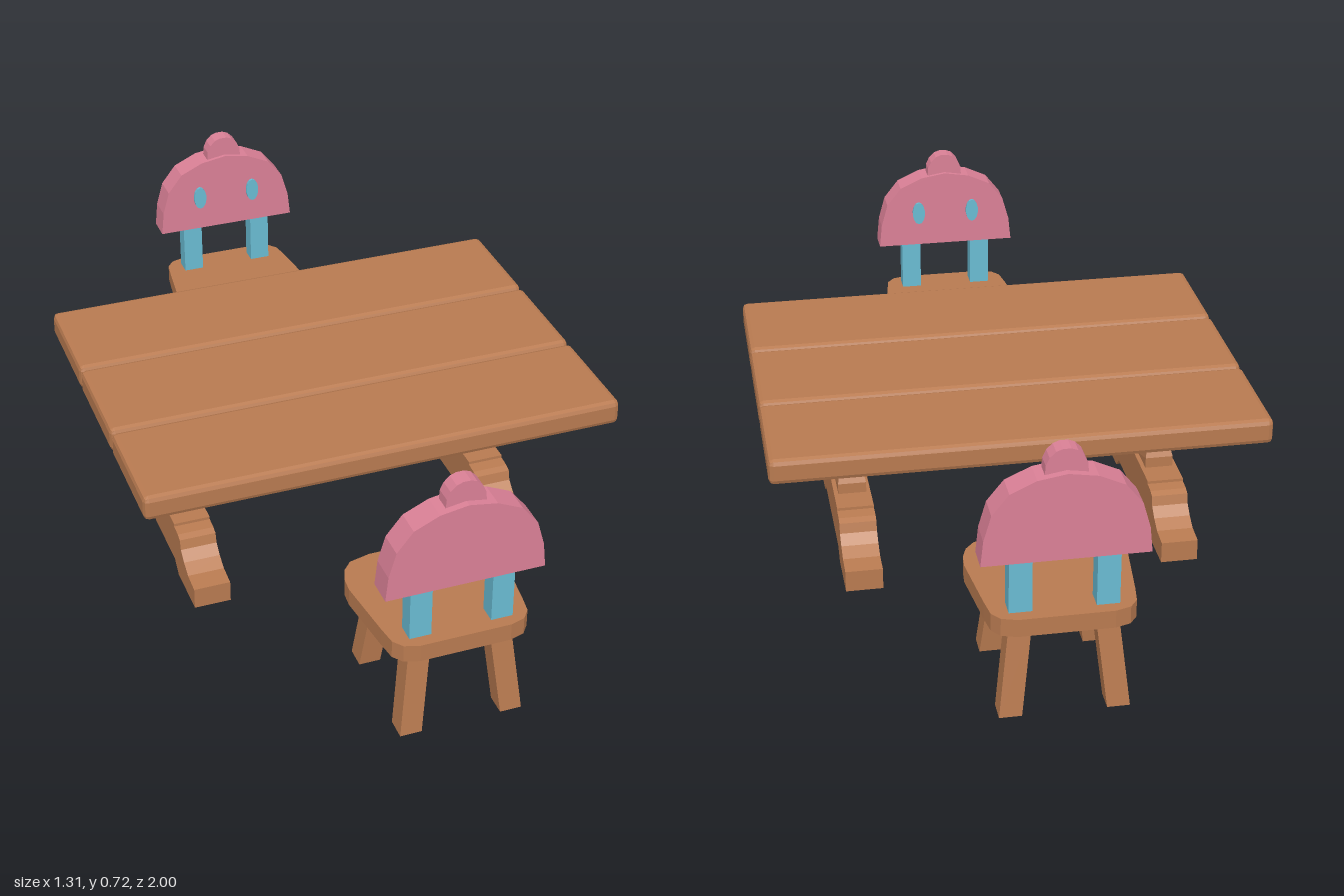
import * as THREE from 'three';
import { RoundedBoxGeometry } from 'three/addons/geometries/RoundedBoxGeometry.js';

const wood = new THREE.MeshStandardMaterial({ name: 'wood', color: 0xb87a50, flatShading: true });
const pink = new THREE.MeshStandardMaterial({ name: 'pink', color: 0xda8096, flatShading: true });
const teal = new THREE.MeshStandardMaterial({ name: 'teal', color: 0x69bbd2, flatShading: true });

function addMesh(parent, name, geometry, material, x = 0, y = 0, z = 0) {
  const mesh = new THREE.Mesh(geometry, material);
  mesh.name = name;
  mesh.position.set(x, y, z);
  parent.add(mesh);
  return mesh;
}

// Extrude a left-right symmetric outline, given its right half, centred in depth
function extrudeMirrored(half, depth) {
  const left = half.filter(([x]) => x > 0).map(([x, y]) => [-x, y]).reverse();
  const shape = new THREE.Shape([...half, ...left].map(([x, y]) => new THREE.Vector2(x, y)));
  const g = new THREE.ExtrudeGeometry(shape, { depth, bevelEnabled: false, curveSegments: 8 });
  return g.translate(0, 0, -depth / 2);
}

// Move vertices by a rule
function reshape(g, rule) {
  const p = g.attributes.position;
  const v = new THREE.Vector3();
  for (let i = 0; i < p.count; i++) {
    rule(v.fromBufferAttribute(p, i));
    p.setXYZ(i, v.x, v.y, v.z);
  }
  g.computeVertexNormals();
  return g;
}

function createTable() {
  const table = new THREE.Group();
  table.name = 'table';

  // Three chamfered planks
  for (let i = -1; i <= 1; i++) {
    addMesh(table, 'tabletopPlank', new RoundedBoxGeometry(1.308, 0.07, 0.315, 1, 0.014), wood, -0.002, 0.445, -0.012 + i * 0.321);
  }

  // Trestles: a scrolled foot and a waisted post
  const foot = [[0.2, 0], [0.168, 0.03], [0, 0.03]].reverse().concat([
    [0.353, 0], [0.353, 0.06], [0.297, 0.066], [0.262, 0.085], [0.235, 0.108],
    [0.228, 0.135], [0.21, 0.142], [0.176, 0.145], [0.176, 0.153], [0, 0.153]]);
  const post = [[0, 0.15], [0.1, 0.15], [0.1, 0.183], [0.075, 0.238], [0.075, 0.34],
    [0.082, 0.362], [0.113, 0.383], [0.113, 0.412], [0, 0.412]];
  for (const side of [-1, 1]) {
    const trestle = new THREE.Group();
    trestle.name = 'trestle';
    trestle.position.set(-0.022 + side * 0.43, 0, -0.014);
    table.add(trestle);
    addMesh(trestle, 'trestleFoot', extrudeMirrored(foot, 0.1).rotateY(Math.PI / 2), wood);
    // The post is thicker at its base
    const postGeometry = reshape(extrudeMirrored(post, 0.053).rotateY(Math.PI / 2), (v) => {
      if (v.y < 0.2) v.x *= 1.45;
    });
    addMesh(trestle, 'trestlePost', postGeometry, wood);
  }

  // Stretcher beam through both posts
  const beam = [[0, 0.249], [0.54, 0.249], [0.54, 0.285], [0.583, 0.303], [0.583, 0.323], [0, 0.323]];
  addMesh(table, 'stretcher', extrudeMirrored(beam, 0.043), wood, -0.022, 0, -0.014);
  return table;
}

// Chair with its back towards +z
function createChair() {
  const chair = new THREE.Group();
  chair.name = 'chair';

  // Seat outline, from its back edge to its front edge (y is -z)
  const seat = [[0, -1], [0.119, -1], [0.158, -0.988], [0.178, -0.962], [0.186, -0.91], [0.206, -0.74],
    [0.203, -0.7], [0.19, -0.663], [0.165, -0.635], [0.108, -0.621], [0, -0.621]];
  addMesh(chair, 'seat', extrudeMirrored(seat, 0.048).rotateX(-Math.PI / 2), wood, 0, 0.26, 0);

  for (const sx of [-1, 1]) {
    // Splayed legs
    for (const sz of [-1, 1]) {
      const leg = reshape(new THREE.BoxGeometry(0.057, 0.24, 0.057), (v) => {
        const splay = v.y < 0 ? 0.027 : 0;
        v.x += sx * splay;
        v.z += sz * splay;
      });
      addMesh(chair, 'leg', leg, wood, sx * 0.107, 0.12, 0.819 + sz * 0.117);
    }
    // Back uprights and oval studs on the inner face
    addMesh(chair, 'backUpright', new THREE.BoxGeometry(0.057, 0.17, 0.048), teal, sx * 0.107, 0.357, 0.944);
    const stud = new THREE.CylinderGeometry(0.5, 0.5, 0.02, 14).rotateX(Math.PI / 2).scale(0.038, 0.07, 1);
    addMesh(chair, 'ovalStud', stud, teal, sx * 0.083, 0.535, 0.914);
  }

  // Domed backrest with a rounded knob on top
  const dome = [[0, 0], [0.206, 0], [0.199, 0.068], [0.18, 0.135], [0.138, 0.188], [0.073, 0.218], [0, 0.23]];
  addMesh(chair, 'backrest', extrudeMirrored(dome, 0.072), pink, 0, 0.43, 0.948);
  const knob = [[0, 0], [0.052, 0], [0.05, 0.025], [0.041, 0.045], [0.026, 0.06], [0.01, 0.066], [0, 0.066]];
  addMesh(chair, 'backrestKnob', extrudeMirrored(knob, 0.043), pink, 0, 0.65, 0.944);
  return chair;
}

export function createModel() {
  const model = new THREE.Group();
  model.name = 'diningSet';
  model.add(createTable());
  for (const turn of [0, Math.PI]) {
    const chair = createChair();
    chair.rotation.y = turn;
    chair.position.x = -0.008;
    model.add(chair);
  }
  return model;
}
